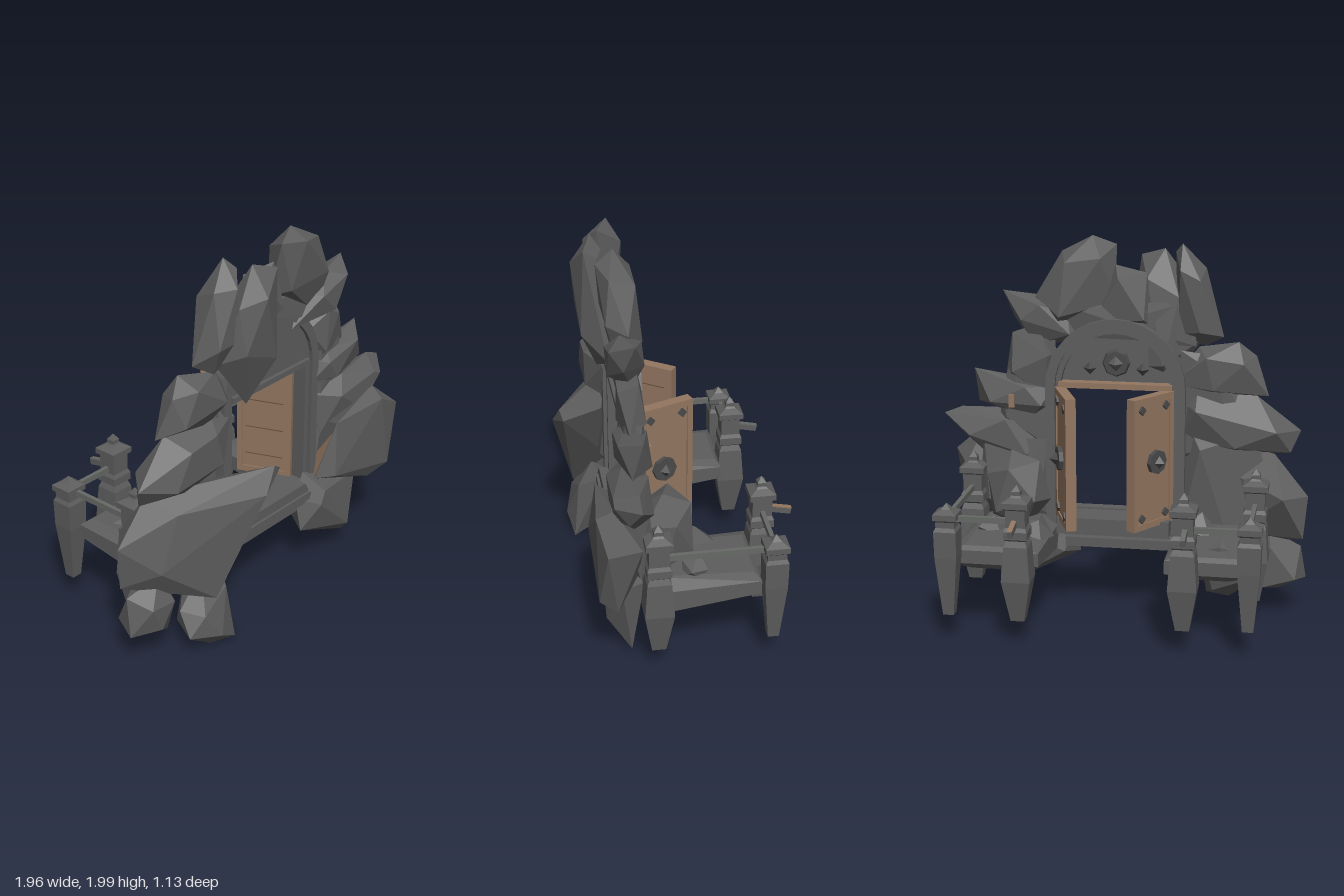
import * as THREE from 'three';
import { ConvexGeometry } from 'three/addons/geometries/ConvexGeometry.js';

export function createModel() {
  const model = new THREE.Group();
  const mat = (name, color) => {
    const m = new THREE.MeshStandardMaterial({ color });
    m.name = name;
    return m;
  };
  const stone = mat('stone', 0x5d5d5d);
  const wood = mat('wood', 0x937660);
  const darkWood = mat('dark wood', 0x6a503d);
  const iron = mat('iron', 0x4a4a4a);
  const railIron = mat('rail iron', 0x666966);

  const add = (name, geo, material, x = 0, y = 0, z = 0, parent = model) => {
    const mesh = new THREE.Mesh(geo, material);
    mesh.name = name;
    mesh.position.set(x, y, z);
    parent.add(mesh);
    return mesh;
  };
  const box = (name, w, h, d, material, x, y, z, parent) =>
    add(name, new THREE.BoxGeometry(w, h, d), material, x, y, z, parent);
  const hull = (name, points, material) =>
    add(name, new ConvexGeometry(points.map(p => new THREE.Vector3(...p))), material);
  const flat = (geo) => {
    const g = geo.index ? geo.toNonIndexed() : geo;
    g.computeVertexNormals();
    return g;
  };

  // Faceted rock: xy outline at a middle depth, with smaller front and back caps; the tilts are dz per dx and dy
  const rock = (name, outline, zBack, zMid, zFront, { tiltX = 0, tiltY = 0, cap = 0.57 } = {}) => {
    const n = outline.length / 2, pts = [];
    let cx = 0, cy = 0;
    for (let i = 0; i < n; i++) {
      cx += outline[2 * i] / n;
      cy += outline[2 * i + 1] / n;
    }
    const put = (dx, dy, z) => pts.push([cx + dx, cy + dy, z + dx * tiltX + dy * tiltY]);
    for (let i = 0; i < n; i++) {
      const dx = outline[2 * i] - cx, dy = outline[2 * i + 1] - cy;
      put(dx, dy, zMid + (i % 2 ? 0.025 : -0.025));
      if (i % 2 === 0) put(dx * cap, dy * cap, zFront);
      else put(dx * 0.65, dy * 0.65, zBack);
    }
    hull(name, pts, stone);
  };

  // Crown of rocks over the arch
  rock('crownRockFront', [-0.20, 1.93, -0.07, 1.89, 0, 1.31, -0.21, 1.20, -0.41, 1.47, -0.33, 1.75], 0.22, 0.34, 0.43, { tiltY: 0.1 });
  rock('crownRockLeft', [-0.30, 1.97, -0.26, 1.92, -0.28, 1.5, -0.42, 1.43, -0.52, 1.49, -0.42, 1.84], 0.18, 0.28, 0.37);
  rock('crownRockMiddle', [-0.12, 1.82, 0.05, 1.85, 0.16, 1.55, -0.16, 1.52], 0.18, 0.25, 0.32);
  rock('crownRockTall', [0.17, 2.0, 0.34, 1.91, 0.47, 1.68, 0.38, 1.48, 0.05, 1.66, 0.05, 1.95], 0.18, 0.28, 0.35, { tiltY: 0.1, cap: 0.7 });
  rock('crownRockRight', [0.64, 1.71, 0.59, 1.56, 0.48, 1.42, 0.19, 1.45, 0.30, 1.60, 0.44, 1.68], 0.18, 0.26, 0.35);
  rock('crownBacking', [-0.36, 1.68, 0.38, 1.66, 0.42, 1.46, 0.05, 1.56, -0.38, 1.44], 0.2, 0.26, 0.3);

  // Rocks along the -x flank
  rock('flankRockUpper', [-0.60, 1.47, -0.39, 1.43, -0.24, 1.24, -0.45, 1.17, -0.76, 1.19, -0.69, 1.39], 0.17, 0.26, 0.34);
  rock('flankRockMiddle', [-0.39, 1.23, -0.28, 1.15, -0.30, 0.93, -0.60, 0.86, -0.88, 0.89, -0.93, 1.0, -0.70, 1.19], 0.15, 0.26, 0.37);
  rock('flankRockLarge', [-0.80, 0.89, -0.23, 0.94, -0.17, 0.90, -0.56, 0.30, -0.96, 0.44, -0.98, 0.67], 0.19, 0.34, 0.43, { tiltX: 0.5, tiltY: -0.12, cap: 0.65 });
  rock('flankRockBack', [-0.70, 1.0, -0.34, 1.02, -0.31, 0.45, -0.55, 0.38, -0.82, 0.55], 0.16, 0.22, 0.3);
  rock('flankBacking', [-0.30, 1.42, -0.55, 1.38, -0.65, 1.05, -0.55, 0.85, -0.29, 0.85], 0.19, 0.24, 0.29);
  rock('footRockOuter', [-0.95, 0.39, -0.78, 0.46, -0.68, 0.36, -0.72, 0.12, -0.84, 0.15, -0.98, 0.20], 0.12, 0.23, 0.33);
  rock('footRockInner', [-0.71, 0.25, -0.55, 0.42, -0.39, 0.40, -0.43, 0.01, -0.56, 0.01, -0.73, 0.13], 0.26, 0.37, 0.45, { tiltY: -0.28 });

  // Rocks along the +x flank
  rock('flankRockUpper', [0.59, 1.49, 0.64, 1.24, 0.42, 1.15, 0.35, 1.38, 0.45, 1.54], 0.18, 0.24, 0.31);
  rock('flankRockMiddle', [0.80, 1.29, 0.79, 1.10, 0.50, 1.02, 0.37, 1.08, 0.38, 1.20, 0.50, 1.23], 0.17, 0.25, 0.33);
  rock('flankRockSharp', [0.98, 1.03, 0.90, 0.92, 0.70, 0.77, 0.42, 0.77, 0.38, 1.0, 0.60, 1.06, 0.88, 1.07], 0.18, 0.28, 0.37);
  rock('flankRockLarge', [0.79, 0.94, 0.96, 0.79, 0.89, 0.43, 0.72, 0.43, 0.31, 0.57, 0.42, 0.87], 0.24, 0.39, 0.45, { cap: 0.82 });
  rock('flankRockBack', [0.75, 0.92, 0.80, 0.55, 0.52, 0.38, 0.39, 0.48, 0.40, 0.92], 0.16, 0.22, 0.3);
  rock('flankBacking', [0.36, 1.50, 0.56, 1.46, 0.65, 1.2, 0.68, 0.95, 0.37, 0.85], 0.19, 0.24, 0.29);
  rock('footRock', [0.32, 0.57, 0.72, 0.43, 0.69, 0.05, 0.25, 0.26, 0.26, 0.44], 0.20, 0.30, 0.39);

  // Wooden splinters caught among the rocks
  hull('woodSplinter', [[0.304, 0.575, 0.36], [0.395, 0.82, 0.405], [0.385, 0.68, 0.315], [0.45, 0.7, 0.38]], wood);
  box('woodSplinterSmall', 0.03, 0.07, 0.02, wood, 0.59, 1.13, 0.17);

  // Arched stone surround around a square opening
  const cx = 0.04, spring = 1.21;
  const archPath = (P, half, bottom) => {
    const p = new P();
    p.moveTo(-half, bottom);
    p.lineTo(half, bottom);
    p.lineTo(half, spring);
    p.absarc(0, spring, half, 0, Math.PI, false);
    p.closePath();
    return p;
  };
  const archRing = (name, outer, inner, z0, z1) => {
    const shape = archPath(THREE.Shape, outer, 0.42);
    shape.holes.push(archPath(THREE.Path, inner, 0.44));
    add(name, new THREE.ExtrudeGeometry(shape, { depth: z1 - z0, bevelEnabled: false, curveSegments: 8 }), stone, cx, 0, z0);
  };
  archRing('archOuterMoulding', 0.37, 0.32, 0.17, 0.29);
  archRing('archInnerMoulding', 0.34, 0.29, 0.195, 0.27);

  // Lunette panel with a carved rosette, above the opening
  const lunette = new THREE.Shape();
  lunette.absarc(0, spring, 0.31, 0, Math.PI, false);
  add('lunette', new THREE.ExtrudeGeometry(lunette, { depth: 0.04, bevelEnabled: false, curveSegments: 8 }), stone, cx, 0, 0.23);
  const rosette = add('rosetteDisc', flat(new THREE.CylinderGeometry(0.065, 0.08, 0.03, 8)), iron, cx, 1.34, 0.225);
  rosette.rotation.x = -Math.PI / 2;
  add('rosetteHeart', flat(new THREE.OctahedronGeometry(0.04)), stone, cx, 1.34, 0.205);
  for (const s of [-1, 1]) add('rosetteLeaf', flat(new THREE.OctahedronGeometry(0.035)), iron, cx + s * 0.14, 1.31, 0.225);
  box('lintel', 0.60, 0.03, 0.06, wood, cx, 1.225, 0.2);
  box('lintelSoffit', 0.60, 0.03, 0.06, stone, cx, 1.22, 0.26);

  // Threshold and stepped sill
  box('threshold', 0.60, 0.09, 0.2, stone, cx, 0.475, 0.19);
  const sill = new THREE.Shape([[-0.37, 0.41], [0.34, 0.41], [0.34, 0.45], [0.29, 0.53], [-0.29, 0.53], [-0.37, 0.45]].map(p => new THREE.Vector2(...p)));
  add('sill', new THREE.ExtrudeGeometry(sill, { depth: 0.06, bevelEnabled: false }), stone, 0, 0, 0.26);
  box('sillStep', 0.64, 0.04, 0.05, stone, 0, 0.455, 0.31);
  box('sillBase', 0.58, 0.05, 0.2, stone, 0, 0.39, 0.19);

  // Half-open doors; s is the direction from hinge to latch
  const door = (name, x, z, angle, s) => {
    const g = new THREE.Group();
    g.name = name;
    g.position.set(x, 0, z);
    g.rotation.y = angle;
    model.add(g);
    const w = 0.30, h = 0.67, mid = 0.86;
    box('doorPanel', w, h, 0.04, wood, s * w / 2, mid, 0, g);
    for (const e of [0.015, w - 0.015]) box('doorStile', 0.03, h + 0.03, 0.055, wood, s * e, mid, 0, g);
    for (const e of [-1, 1]) box('doorRail', w, 0.035, 0.055, wood, s * w / 2, mid + e * h / 2, 0, g);
    for (let i = 0; i < 4; i++) box('plankSeam', w * 0.7, 0.005, 0.004, darkWood, s * w / 2, 0.62 + i * 0.16, 0.02, g);
    // Iron corner studs and boss
    for (const px of [0.06, w - 0.06]) for (const py of [0.57, 1.15]) {
      const stud = box('cornerStud', 0.035, 0.035, 0.02, iron, s * px, py, -0.022, g);
      stud.rotation.z = Math.PI / 4;
    }
    const boss = add('handleBoss', flat(new THREE.CylinderGeometry(0.065, 0.065, 0.025, 8)), iron, s * w * 0.45, 0.86, -0.03, g);
    boss.rotation.x = Math.PI / 2;
    add('handleKnob', flat(new THREE.OctahedronGeometry(0.035)), iron, s * w * 0.45, 0.86, -0.05, g);
  };
  door('doorLeft', -0.25, 0.19, 0.96, 1);
  door('doorRight', 0.335, 0.19, -1.2, -1);

  // Side balconies, with an uneven slab and a tapered underside
  const balcony = (name, x0, x1) => {
    const pts = [];
    for (const [x, k] of [[x0, 1], [x1, -1]]) {
      pts.push([x, 0.45, 0.22], [x, 0.47, -0.355], [x, 0.40, -0.355], [x, 0.33, 0.15]);
      pts.push([x + k * 0.08, 0.50, 0.2], [x + k * 0.06, 0.49, -0.33], [x + k * 0.1, 0.37, -0.33]);
    }
    hull(name, pts, stone);
  };
  balcony('balconyRight', -0.71, -0.29);
  balcony('balconyLeft', 0.35, 0.80);

  // Square hanging posts from [half width, height] profiles: broad with a finial, or slim and short
  const squareLathe = (profile) => flat(new THREE.LatheGeometry(
    profile.map(([r, y]) => new THREE.Vector2(r * Math.SQRT2, y)), 4, Math.PI / 4));
  const broadPost = [[0, 0.14], [0.035, 0.14], [0.073, 0.36], [0.06, 0.54], [0.048, 0.57], [0.06, 0.58], [0.06, 0.62],
    [0.05, 0.64], [0.05, 0.73], [0.066, 0.74], [0.066, 0.77], [0.03, 0.79], [0.022, 0.80], [0.022, 0.82], [0, 0.85]];
  const slimPost = [[0, 0.15], [0.028, 0.15], [0.056, 0.46], [0.058, 0.60], [0.048, 0.62], [0.048, 0.65],
    [0.06, 0.66], [0.06, 0.69], [0.025, 0.71], [0, 0.74]];
  const posts = [[-0.72, -0.415, slimPost], [-0.395, -0.415, broadPost], [-0.715, 0.05, broadPost],
    [0.44, -0.415, broadPost], [0.80, -0.415, slimPost], [0.80, 0.16, broadPost]];
  for (const [x, z, profile] of posts) add('post', squareLathe(profile), stone, x, 0, z);

  // Railings and the broken stubs
  for (const [a, b] of [[-0.72, -0.39], [0.44, 0.80]]) box('backRail', b - a, 0.03, 0.022, railIron, (a + b) / 2, 0.66, -0.415);
  box('sideRailRight', 0.022, 0.03, 0.46, railIron, -0.715, 0.66, -0.185);
  box('sideRailLeft', 0.022, 0.03, 0.57, railIron, 0.80, 0.66, -0.13);
  for (const [x, m] of [[-0.405, railIron], [0.445, wood]]) {
    const stub = box('brokenRail', 0.025, 0.03, 0.13, stone, x, 0.65, -0.505);
    stub.rotation.x = -0.2;
    box('brokenRailTop', 0.025, 0.006, 0.13, m, 0, 0.018, 0, stub);
  }

  // Loose boulders on the balconies
  rock('boulder', [0.42, 0.84, 0.58, 0.88, 0.70, 0.76, 0.69, 0.52, 0.50, 0.47, 0.37, 0.62], -0.04, 0.08, 0.2);
  rock('rubble', [0.40, 0.56, 0.54, 0.54, 0.55, 0.46, 0.33, 0.46], -0.17, -0.06, 0.1);
  rock('rubble', [0.64, 0.57, 0.75, 0.52, 0.72, 0.45, 0.56, 0.45], -0.10, -0.04, 0.02);
  rock('rubble', [-0.44, 0.60, -0.31, 0.54, -0.29, 0.46, -0.54, 0.46], -0.02, 0.08, 0.2);
  rock('pebble', [-0.62, 0.49, -0.56, 0.525, -0.49, 0.49, -0.56, 0.46], -0.24, -0.19, -0.15);

  return model;
}
